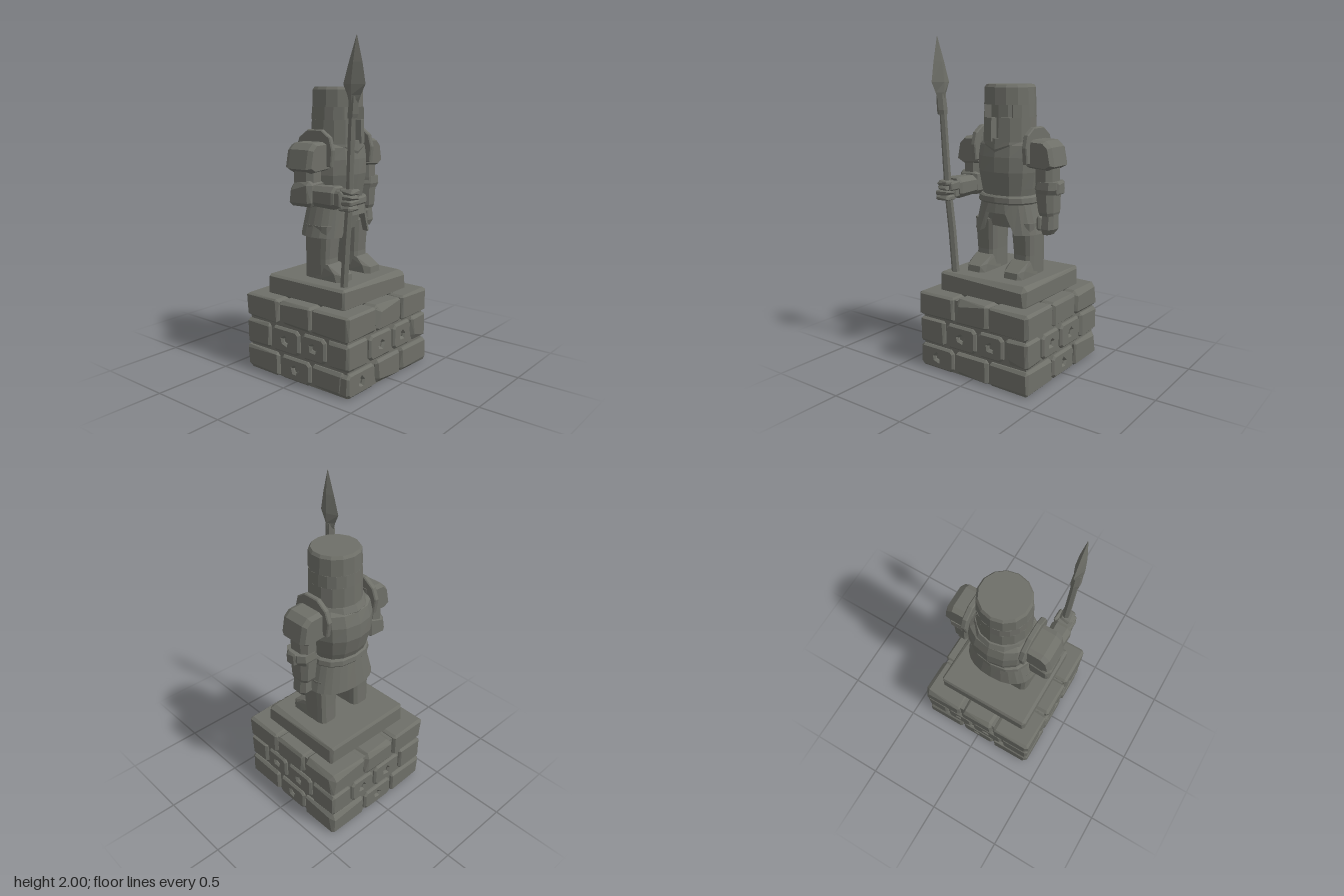
import * as THREE from 'three';
import { ConvexGeometry } from 'three/addons/geometries/ConvexGeometry.js';

const stone = new THREE.MeshStandardMaterial({ color: 0x6e6f68 });
stone.name = 'weathered stone';

let seed = 11;
const rnd = () => (seed = (seed * 16807) % 2147483647) / 2147483647;

function add(parent, name, geometry) {
  const mesh = new THREE.Mesh(geometry, stone);
  mesh.name = name;
  parent.add(mesh);
  return mesh;
}

// Faceted loft through rings [y, rx, rz, cx, cz]; e < 1 makes the section boxier
function loft(rings, n = 10, e = 1, { caps = true, phase = 0, rule } = {}) {
  const pos = [], idx = [];
  const pow = v => Math.sign(v) * Math.abs(v) ** e;
  rings.forEach(([y, rx, rz, cx = 0, cz = 0], r) => {
    for (let i = 0; i < n; i++) {
      const a = ((i + phase) / n) * Math.PI * 2;
      const p = new THREE.Vector3(cx + rx * pow(Math.sin(a)), y, cz + rz * pow(Math.cos(a)));
      if (rule) rule(p, r);
      pos.push(p.x, p.y, p.z);
    }
  });
  for (let r = 0; r < rings.length - 1; r++)
    for (let i = 0; i < n; i++) {
      const a = r * n + i, b = r * n + (i + 1) % n;
      idx.push(a, b, b + n, a, b + n, a + n);
    }
  if (caps) {
    const top = (rings.length - 1) * n;
    for (let i = 1; i < n - 1; i++) idx.push(0, i + 1, i, top, top + i, top + i + 1);
  }
  const g = new THREE.BufferGeometry();
  g.setAttribute('position', new THREE.Float32BufferAttribute(pos, 3));
  g.setIndex(idx);
  const flat = g.toNonIndexed();
  flat.computeVertexNormals();
  return flat;
}

// Roughly chamfered block with a few larger chips
function block(x0, x1, y0, y1, z0, z1, c = 0.02) {
  const pts = [], lo = [x0, y0, z0], hi = [x1, y1, z1];
  for (let k = 0; k < 8; k++) {
    const chip = rnd() < 0.2 ? 1.9 : 1;
    for (let face = 0; face < 3; face++) {
      const p = [0, 1, 2].map(ax => {
        const inset = ax === face ? 0 : c * chip * (0.5 + 0.7 * rnd());
        return (k >> ax) & 1 ? hi[ax] - inset : lo[ax] + inset;
      });
      pts.push(new THREE.Vector3(...p));
    }
  }
  return new ConvexGeometry(pts);
}

const shapeOf = pts => new THREE.Shape(pts.map(p => new THREE.Vector2(...p)));

// Stone face with a chipped hole in it
function pittedFace(w, h) {
  const a = w / 2 - 0.016, b = h / 2 - 0.014, c = 0.015;
  const shape = shapeOf([[-a + c, -b], [a - c, -b], [a, -b + c], [a, b - c], [a - c, b], [-a + c, b], [-a, b - c], [-a, -b + c]]);
  const hole = [];
  for (let i = 0; i < 5; i++) {
    const t = i * 1.257 + 0.4 * rnd(), r = 0.03 + 0.01 * rnd();
    hole.push(new THREE.Vector2(r * Math.cos(t), r * Math.sin(t)));
  }
  shape.holes.push(new THREE.Path(hole));
  return new THREE.ExtrudeGeometry(shape, { depth: 0.05, bevelThickness: 0.012, bevelSize: 0.012, bevelSegments: 1 });
}

function buildPedestal(root) {
  const g = new THREE.Group();
  g.name = 'pedestal';
  root.add(g);
  add(g, 'core', new THREE.BoxGeometry(0.76, 0.465, 0.76).translate(0, 0.2325, 0));
  const thirds = [-0.403, -0.13, 0.125, 0.403], quarters = [-0.4, -0.2, 0.04, 0.24, 0.4];
  const courses = [[0, 0.147, thirds], [0.16, 0.317, quarters], [0.33, 0.48, thirds]];
  courses.forEach(([y0, y1, cuts], row) => {
    const n = cuts.length - 1, gap = 0.005;
    for (let i = 0; i < n; i++) for (let j = 0; j < n; j++) {
      let nx = i === 0 ? -1 : i === n - 1 ? 1 : 0;
      const nz = j === 0 ? -1 : j === n - 1 ? 1 : 0;
      if (!nx && !nz) continue;
      const frontCorner = row === 0 && i === 0 && nz === 1;
      const side = !nx !== !nz;
      const pitted = frontCorner || (side && (row === 1 || (row === 0 && nz !== 1)));
      if (frontCorner) nx = 0;
      const set = pitted ? 0.04 : 0;
      const X0 = cuts[i] + (i ? gap : 0), X1 = cuts[i + 1] - (i < n - 1 ? gap : 0);
      const Z0 = cuts[j] + (j ? gap : 0), Z1 = cuts[j + 1] - (j < n - 1 ? gap : 0);
      add(g, 'stone', block(X0 + (nx < 0 ? set : 0), X1 - (nx > 0 ? set : 0), y0, y1,
        Z0 + (nz < 0 ? set : 0), Z1 - (nz > 0 ? set : 0), 0.018));
      if (pitted) {
        const face = pittedFace(nx ? Z1 - Z0 : X1 - X0, y1 - y0);
        face.rotateY(Math.atan2(nx, nz));
        face.translate(nx ? nx * 0.338 : (X0 + X1) / 2, (y0 + y1) / 2, nz ? nz * 0.338 : (Z0 + Z1) / 2);
        add(g, 'pittedStone', face);
      }
    }
  });
  add(g, 'plinth', block(-0.315, 0.318, 0.465, 0.597, -0.3, 0.302, 0.018));
}

// Helmet band: ring with a front opening of the given half angle
function helmetBand(y0, y1, open) {
  const n = 14, outer = [], inner = [];
  for (let i = 0; i <= n; i++) {
    const a = open + (i / n) * (Math.PI * 2 - 2 * open);
    outer.push([0.163 * Math.sin(a), -0.16 * Math.cos(a)]);
    inner.unshift([0.115 * Math.sin(a), -0.115 * Math.cos(a)]);
  }
  const g = new THREE.ExtrudeGeometry(shapeOf([...outer, ...inner]), { depth: y1 - y0, bevelEnabled: false });
  g.rotateX(-Math.PI / 2).translate(0, y0, 0);
  const p = g.attributes.position;
  for (let i = 0; i < p.count; i++) {
    const s = 1 - 0.17 * (p.getY(i) - 1.4);
    p.setXYZ(i, p.getX(i) * s + 0.003, p.getY(i), p.getZ(i) * s);
  }
  g.computeVertexNormals();
  return g;
}

function buildHelmet(root) {
  const g = new THREE.Group();
  g.name = 'helmet';
  root.add(g);
  add(g, 'cheekBand', helmetBand(1.4, 1.54, 0.17));
  add(g, 'eyeBand', helmetBand(1.54, 1.615, 0.7));
  add(g, 'crown', loft([[1.615, 0.157, 0.154, 0.003], [1.715, 0.154, 0.151, 0.003], [1.732, 0.142, 0.139, 0.003]], 14));
  add(g, 'innerHead', loft([[1.4, 0.12, 0.12], [1.65, 0.115, 0.115]], 12));
}

function buildBody(root) {
  const g = new THREE.Group();
  g.name = 'body';
  root.add(g);
  add(g, 'breastplate', loft([[1.05, 0.165, 0.145, 0, -0.01], [1.12, 0.182, 0.165, 0, -0.02], [1.22, 0.2, 0.186, 0, -0.024],
    [1.31, 0.203, 0.183, 0, -0.024], [1.38, 0.195, 0.165, 0, -0.02], [1.405, 0.165, 0.14, 0, -0.01]], 14, 0.9));
  // collar dips to a point at the chest
  add(g, 'collar', loft([[1.36, 0.168, 0.165, 0, -0.015], [1.385, 0.175, 0.172, 0, -0.015], [1.42, 0.165, 0.16, 0, -0.01]], 12, 1,
    { rule: (p, r) => { if (r < 2 && p.z > 0.15) p.y -= 0.03; } }));
  add(g, 'belt', loft([[1.03, 0.19, 0.162, 0, -0.01], [1.04, 0.197, 0.17, 0, -0.01], [1.07, 0.193, 0.167, 0, -0.01], [1.08, 0.18, 0.157, 0, -0.01]], 14, 0.85));
  // flared skirt shell, arched open at the front
  add(g, 'skirt', loft([[1.03, 0.15, 0.13, 0, -0.01], [0.86, 0.195, 0.145, 0, -0.015], [0.85, 0.23, 0.172, 0, -0.015], [1.04, 0.178, 0.155, 0, -0.01]],
    24, 0.85, { caps: false, rule: (p, r) => { if ((r === 1 || r === 2) && p.z > 0 && Math.abs(p.x) < 0.09) p.y = 0.975; } }));
  add(g, 'hips', loft([[0.88, 0.14, 0.09], [1.04, 0.16, 0.12]], 10, 0.7));
  for (const s of [-1, 1]) {
    add(g, 'leg', loft([[0.59, 0.068, 0.095, s * 0.138, -0.005], [0.72, 0.07, 0.09, s * 0.138, -0.008],
      [0.92, 0.078, 0.098, s * 0.135, 0]], 12, 0.5, { phase: 0.5 }));
    const foot = [];
    for (const [w, y, z] of [[0.07, 0.59, 0], [0.07, 0.59, 0.16], [0.045, 0.59, 0.19], [0.045, 0.635, 0.185], [0.068, 0.645, 0.14], [0.058, 0.69, 0.085], [0.058, 0.69, 0]])
      for (const d of [-w, w]) foot.push(new THREE.Vector3(s * 0.138 + d, y, z));
    add(g, 'foot', new ConvexGeometry(foot));
  }
}

function buildShoulders(root) {
  for (const s of [-1, 1]) {
    // curved upright guard beside the neck
    const guard = shapeOf([[-0.11, 1.28], [0.135, 1.28], [0.15, 1.37], [0.125, 1.435], [0.06, 1.48], [-0.04, 1.48], [-0.1, 1.44], [-0.12, 1.37]]);
    const guardGeo = new THREE.ExtrudeGeometry(guard, { depth: 0.022, bevelThickness: 0.006, bevelSize: 0.006, bevelSegments: 1 });
    add(root, 'neckGuard', guardGeo.rotateY(Math.PI / 2).translate(s * 0.187 - 0.011, 0, 0));
    const plate = shapeOf([[0.18, 1.265], [0.18, 1.405], [0.285, 1.4], [0.318, 1.37], [0.337, 1.275], [0.3, 1.255]].map(([x, y]) => [s * x, y]));
    const plateGeo = new THREE.ExtrudeGeometry(plate, { depth: 0.135, bevelThickness: 0.03, bevelSize: 0.014, bevelSegments: 1 });
    add(root, 'shoulderPlate', plateGeo.translate(0, 0, -0.08));
    add(root, 'upperArm', loft([[1.1, 0.055, 0.07, s * 0.265, -0.01], [1.17, 0.062, 0.08, s * 0.265, -0.01], [1.3, 0.062, 0.08, s * 0.265, -0.01]], 8, 0.7, { phase: 0.5 }));
  }
}

function buildArms(root) {
  // hanging left arm
  add(root, 'leftElbowGuard', loft([[1.1, 0.068, 0.08, 0.275, -0.01], [1.13, 0.08, 0.09, 0.28, -0.01], [1.175, 0.072, 0.085, 0.285, -0.01]], 8, 0.7, { phase: 0.5 }));
  add(root, 'leftElbowDisc', block(0.335, 0.365, 1.1, 1.18, -0.045, 0.035, 0.012));
  add(root, 'leftForearm', loft([[0.97, 0.05, 0.065, 0.275, -0.015], [0.99, 0.056, 0.075, 0.275, -0.015], [1.12, 0.066, 0.085, 0.268, -0.012]], 8, 0.7, { phase: 0.5 }));
  add(root, 'leftHand', loft([[0.855, 0.03, 0.04, 0.275, -0.005], [0.89, 0.048, 0.06, 0.282, -0.01], [0.98, 0.045, 0.055, 0.282, -0.015]], 8, 0.75, { phase: 0.5 }));
  add(root, 'leftThumb', block(0.225, 0.255, 0.88, 0.97, 0.015, 0.055, 0.012));
  // bent right arm holding the spear
  add(root, 'rightElbow', block(-0.345, -0.205, 1.05, 1.2, -0.09, 0.075, 0.025));
  const forearm = loft([[0, 0.055, 0.06], [0.1, 0.062, 0.064], [0.215, 0.068, 0.068], [0.232, 0.06, 0.06]], 8, 0.7, { phase: 0.5 });
  add(root, 'rightForearm', forearm.rotateX(Math.PI / 2).translate(-0.262, 1.115, 0));
  add(root, 'rightPalm', block(-0.315, -0.21, 1.06, 1.16, 0.2, 0.275, 0.015));
  for (let i = 0; i < 4; i++) {
    const y = 1.05 + i * 0.03;
    add(root, 'rightFinger', block(-0.31 + 0.005 * i, -0.215, y, y + 0.031, 0.25, 0.335 + 0.005 * (i % 2), 0.01));
  }
  add(root, 'rightThumb', block(-0.225, -0.195, 1.11, 1.165, 0.235, 0.32, 0.012));
}

function buildSpear(root) {
  const g = new THREE.Group();
  g.name = 'spear';
  root.add(g);
  add(g, 'shaft', loft([[0.59, 0.024, 0.024, -0.238, 0.243], [0.85, 0.024, 0.024, -0.242, 0.262], [1.1, 0.023, 0.023, -0.248, 0.288],
    [1.35, 0.022, 0.022, -0.253, 0.3], [1.6, 0.021, 0.021, -0.257, 0.313]], 6));
  add(g, 'socket', loft([[1.56, 0.028, 0.03, -0.257, 0.315], [1.585, 0.03, 0.034, -0.257, 0.318], [1.68, 0.026, 0.03, -0.258, 0.325]], 6));
  add(g, 'spearhead', loft([[1.64, 0.024, 0.03, -0.258, 0.322], [1.685, 0.028, 0.046, -0.258, 0.325], [1.745, 0.03, 0.076, -0.259, 0.327],
    [1.86, 0.022, 0.046, -0.26, 0.336], [2, 0.002, 0.002, -0.262, 0.345]], 4));
}

export function createModel() {
  const model = new THREE.Group();
  model.name = 'knightStatue';
  const knight = new THREE.Group();
  knight.name = 'knight';
  buildPedestal(model);
  for (const build of [buildBody, buildHelmet, buildShoulders, buildArms, buildSpear]) build(knight);
  model.add(knight);
  return model;
}
